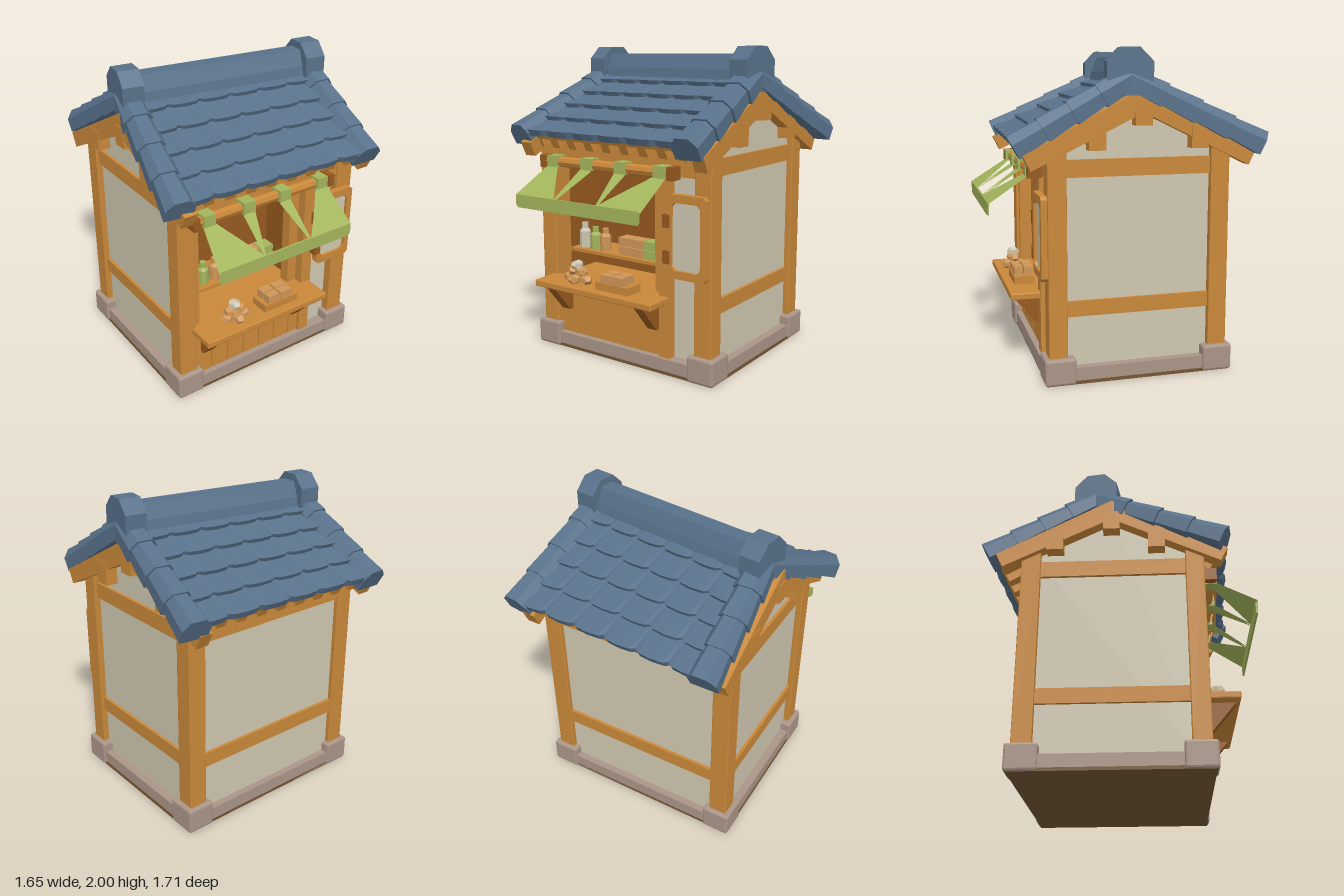
import * as THREE from 'three';
import { RoundedBoxGeometry } from 'three/addons/geometries/RoundedBoxGeometry.js';

const mat = (name, color) => Object.assign(new THREE.MeshStandardMaterial({ color }), { name });
const V = (x, y, z) => new THREE.Vector3(x, y, z);

// Flat-faced solid through a list of rings with equal point counts (convex end caps)
function loft(rings) {
  const p = [], n = rings[0].length;
  const tri = (a, b, c) => p.push([a, b, c]);
  for (let k = 0; k < rings.length - 1; k++)
    for (let i = 0; i < n; i++) {
      const a = rings[k], b = rings[k + 1], j = (i + 1) % n;
      tri(a[i], a[j], b[j]);
      tri(a[i], b[j], b[i]);
    }
  const first = rings[0], last = rings[rings.length - 1];
  for (let i = 1; i < n - 1; i++) {
    tri(first[0], first[i + 1], first[i]);
    tri(last[0], last[i], last[i + 1]);
  }
  // Turn the faces outward
  const o = first[0];
  let vol = 0;
  for (const [a, b, c] of p) vol += a.clone().sub(o).dot(b.clone().sub(o).cross(c.clone().sub(o)));
  const pts = p.flatMap(([a, b, c]) => (vol < 0 ? [a, c, b] : [a, b, c]));
  const g = new THREE.BufferGeometry().setFromPoints(pts);
  g.computeVertexNormals();
  return g;
}

export function createModel() {
  const roofMat = mat('slate blue tile', 0x58718a);
  const wood = mat('honey wood', 0xc98839);
  const darkWood = mat('dark wood', 0x96591f);
  const plaster = mat('cream plaster', 0xcfc7b0);
  const stone = mat('warm grey stone', 0xaa9588);
  const green = mat('leaf green', 0xa3b55c);
  green.side = THREE.DoubleSide;
  const tan = mat('tan goods', 0xcf9658);
  const under = mat('underside brown', 0x745634);

  const model = new THREE.Group();
  model.name = 'marketStall';
  const add = (name, geo, m) => {
    const mesh = new THREE.Mesh(geo, m);
    mesh.name = name;
    model.add(mesh);
    return mesh;
  };
  // Box from its extents, optionally with a small chamfer
  const box = (name, m, x0, x1, y0, y1, z0, z1, r = 0) => {
    const s = [x1 - x0, y1 - y0, z1 - z0];
    let g = r ? new RoundedBoxGeometry(...s, 1, r) : new THREE.BoxGeometry(...s);
    if (r) {
      if (g.index) g = g.toNonIndexed();
      g.computeVertexNormals();
    }
    g.translate((x0 + x1) / 2, (y0 + y1) / 2, (z0 + z1) / 2);
    return add(name, g, m);
  };
  // Prism along x from a convex (z, y) outline
  const prism = (name, m, pts, x0, x1) =>
    add(name, loft([x0, x1].map(x => pts.map(([z, y]) => V(x, y, z)))), m);

  // Foundation
  box('underside', under, -0.69, 0.69, 0, 0.02, -0.61, 0.55);
  box('undersidePanel', under, -0.56, 0.56, 0.012, 0.03, -0.48, 0.42);
  for (const [z0, z1] of [[0.47, 0.55], [-0.61, -0.53]]) box('sill', stone, -0.6, 0.6, 0.005, 0.1, z0, z1);
  for (const s of [-1, 1]) {
    const a = s * 0.61, b = s * 0.685;
    box('sill', stone, Math.min(a, b), Math.max(a, b), 0.005, 0.1, -0.5, 0.45);
    for (const [z0, z1] of [[0.375, 0.565], [-0.625, -0.435]]) {
      box('cornerStone', stone, s * 0.61 - 0.092, s * 0.61 + 0.092, 0.003, 0.165, z0, z1, 0.014);
      box('stoneUnderside', under, s * 0.61 - 0.08, s * 0.61 + 0.08, 0, 0.01, z0 + 0.012, z1 - 0.012);
    }
    // Corner posts
    box('post', wood, s * 0.61 - 0.06, s * 0.61 + 0.06, 0.15, 1.42, 0.42, 0.535, 0.006);
    box('post', wood, s * 0.61 - 0.06, s * 0.61 + 0.06, 0.15, 1.42, -0.595, -0.475, 0.006);

    // Side walls with gable, and their rails
    const wall = [[0.46, 0.08], [0.46, 1.44], [-0.035, 1.72], [-0.53, 1.44], [-0.53, 0.08]];
    prism('sideWall', plaster, wall, s * 0.59, s * 0.63);
    for (const [y0, y1] of [[0.41, 0.505], [1.25, 1.355]])
      box('sideRail', wood, s * 0.625 - 0.025, s * 0.625 + 0.025, y0, y1, -0.5, 0.45);

    // Bargeboards and purlin ends
    for (const e of [[0.68, 1.39, 0.635, 1.3], [-0.75, 1.39, -0.705, 1.3]])
      prism('bargeboard', wood, [[-0.035, 1.765], [e[0], e[1]], [e[2], e[3]], [-0.035, 1.625]], s * 0.62, s * 0.705);
    for (const [z, y0, y1] of [[-0.035, 1.55, 1.68], [0.245, 1.41, 1.56], [-0.385, 1.41, 1.54]])
      box('purlinEnd', wood, s * 0.655 - 0.055, s * 0.655 + 0.055, y0, y1, z - 0.052, z + 0.052);
  }

  // Back wall
  box('backWall', plaster, -0.6, 0.6, 0.08, 1.42, -0.565, -0.53);
  box('backRail', wood, -0.58, 0.58, 0.41, 0.505, -0.585, -0.53);
  box('backTopBeam', wood, -0.58, 0.58, 1.25, 1.37, -0.585, -0.5);

  // Front wall and opening
  box('frontTopBeam', wood, -0.58, 0.58, 1.24, 1.4, 0.43, 0.52);
  box('frontPlaster', plaster, 0.36, 0.56, 0.08, 1.3, 0.44, 0.475);
  box('openingPostLeft', wood, -0.56, -0.515, 0.1, 1.25, 0.43, 0.515);
  box('openingPostRight', wood, 0.29, 0.37, 0.1, 1.25, 0.43, 0.53);
  box('openingPostInner', wood, 0.22, 0.3, 0.1, 1.25, 0.4, 0.47);
  box('interiorBack', darkWood, -0.56, 0.36, 0.1, 1.4, 0.12, 0.15);
  box('interiorLeft', darkWood, -0.56, -0.535, 0.1, 1.4, 0.15, 0.44);
  box('interiorRight', darkWood, 0.28, 0.31, 0.1, 1.4, 0.15, 0.44);
  box('interiorCeiling', darkWood, -0.56, 0.31, 1.38, 1.41, 0.15, 0.44);
  box('shelf', wood, -0.535, 0.225, 0.635, 0.657, 0.15, 0.41);

  // Counter
  box('counterTop', wood, -0.58, 0.36, 0.45, 0.495, 0.15, 0.715, 0.008);
  box('counterBacking', darkWood, -0.55, 0.36, 0.1, 0.45, 0.44, 0.49);
  for (let i = 0; i < 7; i++) {
    const x = -0.55 + i * 0.127;
    box('counterPlank', wood, x + 0.004, x + 0.123, 0.1, 0.45, 0.48, 0.51);
  }
  for (const x of [-0.47, 0.245])
    prism('counterBracket', darkWood, [[0.5, 0.27], [0.54, 0.27], [0.69, 0.45], [0.5, 0.45]], x - 0.035, x + 0.035);

  // Hinged shutter with chamfered frame
  const chamfered = (S, x0, x1, y0, y1, c) => {
    const q = [[x0 + c, y0], [x1 - c, y0], [x1, y0 + c], [x1, y1 - c], [x1 - c, y1], [x0 + c, y1], [x0, y1 - c], [x0, y0 + c]];
    return new S(q.map(([x, y]) => new THREE.Vector2(x, y)));
  };
  const frame = chamfered(THREE.Shape, 0.38, 0.655, 0.635, 1.145, 0.02);
  frame.holes.push(chamfered(THREE.Path, 0.41, 0.615, 0.685, 1.095, 0.025));
  add('shutterFrame', new THREE.ExtrudeGeometry(frame, { depth: 0.045, bevelEnabled: false }).translate(0, 0, 0.528), wood);
  box('shutterPanel', plaster, 0.4, 0.63, 0.67, 1.11, 0.53, 0.553);
  for (const y of [0.76, 0.98]) box('hinge', darkWood, 0.352, 0.4, y - 0.04, y + 0.04, 0.52, 0.58);

  // Awning: rod, straps, sloping cloth and valance
  add('awningRod', new THREE.CylinderGeometry(0.034, 0.034, 1.04, 8).toNonIndexed().rotateZ(Math.PI / 2).translate(-0.08, 1.268, 0.57), wood)
    .geometry.computeVertexNormals();
  for (const x of [-0.58, 0.425]) box('rodEnd', darkWood, x - 0.022, x + 0.022, 1.228, 1.308, 0.525, 0.612);
  const sheet = (name, pts) => {
    const g = new THREE.BufferGeometry().setFromPoints(pts.map(q => V(...q)));
    g.setIndex(pts.length === 4 ? [0, 1, 2, 0, 2, 3] : [0, 1, 2]);
    g.computeVertexNormals();
    add(name, g, green);
  };
  const straps = [[-0.535, -0.455, -0.59, -0.27], [-0.255, -0.17, -0.27, -0.265], [0.015, 0.095, 0.065, 0.07], [0.31, 0.39, 0.07, 0.39]];
  for (const [a, b, c, d] of straps) {
    box('awningStrap', green, a, b, 1.235, 1.31, 0.53, 0.616);
    for (const t of [0, 0.012])
      sheet('awningCloth', [[c, 1.08 - t, 0.85], [d, 1.08 - t, 0.85], [b, 1.245 - t, 0.605], [a, 1.245 - t, 0.605]]);
  }
  box('awningValance', green, -0.575, 0.375, 1.0, 1.082, 0.838, 0.85);
  for (const [x, e] of [[-0.575, -0.59], [0.375, 0.39]])
    sheet('valanceEnd', [[x, 1, 0.849], [e, 1.02, 0.849], [e, 1.08, 0.849], [x, 1.08, 0.849]]);

  // Goods on the shelf
  const bottles = [[-0.465, plaster, 0.17], [-0.372, green, 0.15], [-0.285, tan, 0.15]];
  for (const [x, m, h] of bottles) {
    const pts = [[0, 0], [0.038, 0], [0.038, h * 0.65], [0.022, h * 0.78], [0.022, h], [0, h]];
    const g = new THREE.LatheGeometry(pts.map(q => new THREE.Vector2(...q)), 8).toNonIndexed();
    g.computeVertexNormals();
    add('bottle', g.translate(x, 0.657, 0.34), m);
  }
  for (let i = 0; i < 3; i++)
    for (let j = 0; j < 2; j++) {
      const x = -0.145 + i * 0.103, y = 0.657 + j * 0.06;
      box('packet', i === 2 ? green : tan, x, x + 0.098, y, y + 0.056, 0.29, 0.38);
    }

  // Goods on the counter
  box('tray', wood, -0.11, 0.15, 0.495, 0.545, 0.53, 0.66);
  for (const x of [-0.035, 0.06]) for (const z of [0.56, 0.625]) box('cake', tan, x - 0.042, x + 0.042, 0.54, 0.597, z - 0.028, z + 0.028);
  const buns = [[-0.37, 0.525, 0.6], [-0.3, 0.525, 0.64], [-0.235, 0.52, 0.6], [-0.31, 0.525, 0.56], [-0.34, 0.57, 0.6], [-0.275, 0.57, 0.6], [-0.31, 0.61, 0.6]];
  buns.forEach(([x, y, z], i) => {
    const g = new THREE.DodecahedronGeometry(0.045, 0).scale(1, 0.75, 0.9).rotateY(i * 1.3);
    add('bun', g.translate(x, y, z), i === 6 ? plaster : tan);
  });

  // Roof: two slightly twisted slopes below a skewed ridge
  const RL = V(-0.6, 1.83, -0.13), RR = V(0.64, 1.83, 0.04);
  const slopes = [[V(-0.72, 1.445, 0.66), V(0.61, 1.445, 0.72)], [V(-0.6, 1.45, -0.82), V(0.74, 1.45, -0.755)]];
  for (const [EL, ER] of slopes) {
    const normal = RR.clone().sub(RL).cross(EL.clone().sub(RL)).normalize();
    if (normal.y < 0) normal.negate();
    const at = (u, v, h) => RL.clone().lerp(RR, u).lerp(EL.clone().lerp(ER, u), v).addScaledVector(normal, h);
    const slab = (u0, u1, v0, v1, h0, h1) =>
      loft([u0, u1].map(u => [at(u, v0, h0), at(u, v0, h1), at(u, v1, h1), at(u, v1, h0)]));

    add('roofBoards', slab(0.02, 0.98, 0, 0.96, -0.055, -0.025), wood);
    for (let i = 0; i < 9; i++) {
      const u = 0.06 + i * 0.11;
      add('rafter', slab(u - 0.024, u + 0.024, 0.5, 0.95, -0.12, -0.05), wood);
    }

    // Overlapping tile rows with notched lower edges
    const rows = 5, cols = 6;
    for (let r = 0; r < rows; r++) {
      const rings = [];
      for (let c = 0; c <= cols; c++)
        for (const [f, cut] of [[0, 0.025], [0.14, 0], [0.5, -0.008], [0.86, 0]]) {
          if (c === cols && f) break;
          const u = (c + f) / cols, v0 = Math.max(0, r / rows - 0.03), v1 = (r + 1) / rows - cut;
          const h = 0.032 - cut * 0.4;
          rings.push([at(u, v0, -0.03), at(u, v0, 0), at(u, v1, h), at(u, v1, h - 0.045)]);
        }
      add('tileRow', loft(rings), roofMat);
    }

    // Gable cap tiles, each flaring toward its lower end
    for (const u of [0, 1]) {
      const top = u ? RR : RL, eave = u ? ER : EL;
      const dir = eave.clone().sub(top).normalize();
      const n = V(0, 1, 0).addScaledVector(dir, -dir.y).normalize();
      const side = dir.clone().cross(n);
      const section = [[-0.085, -0.075], [-0.088, 0.01], [-0.045, 0.062], [0.045, 0.062], [0.088, 0.01], [0.085, -0.075]];
      const ring = (v, k) => section.map(([a, b]) =>
        top.clone().lerp(eave, v).addScaledVector(side, a * k).addScaledVector(n, b * k));
      for (let i = 0; i < 4; i++)
        add('gableCap', loft([ring(i / 4 - 0.01, 0.88), ring((i + 1) / 4 + 0.012, 1.06)]), roofMat);
    }
  }

  // Ridge beam and its octagonal end tiles
  const along = RR.clone().sub(RL).normalize(), across = V(-along.z, 0, along.x);
  const ridgeRing = (c, pts) => pts.map(([a, y]) => V(c.x + across.x * a, y, c.z + across.z * a));
  const ridge = [[-0.11, 1.76], [-0.09, 1.86], [-0.05, 1.955], [0.05, 1.955], [0.09, 1.86], [0.11, 1.76]];
  add('ridge', loft([RL, RR].map(c => ridgeRing(c, ridge))), roofMat);
  const oct = Array.from({ length: 8 }, (_, i) => {
    const a = (i + 0.5) * Math.PI / 4;
    return [Math.cos(a) * 0.148, 1.862 + Math.sin(a) * 0.149];
  });
  for (const c of [RL, RR])
    add('ridgeEnd', loft([-0.068, 0.068].map(d => ridgeRing(c.clone().addScaledVector(along, d), oct))), roofMat);

  return model;
}
